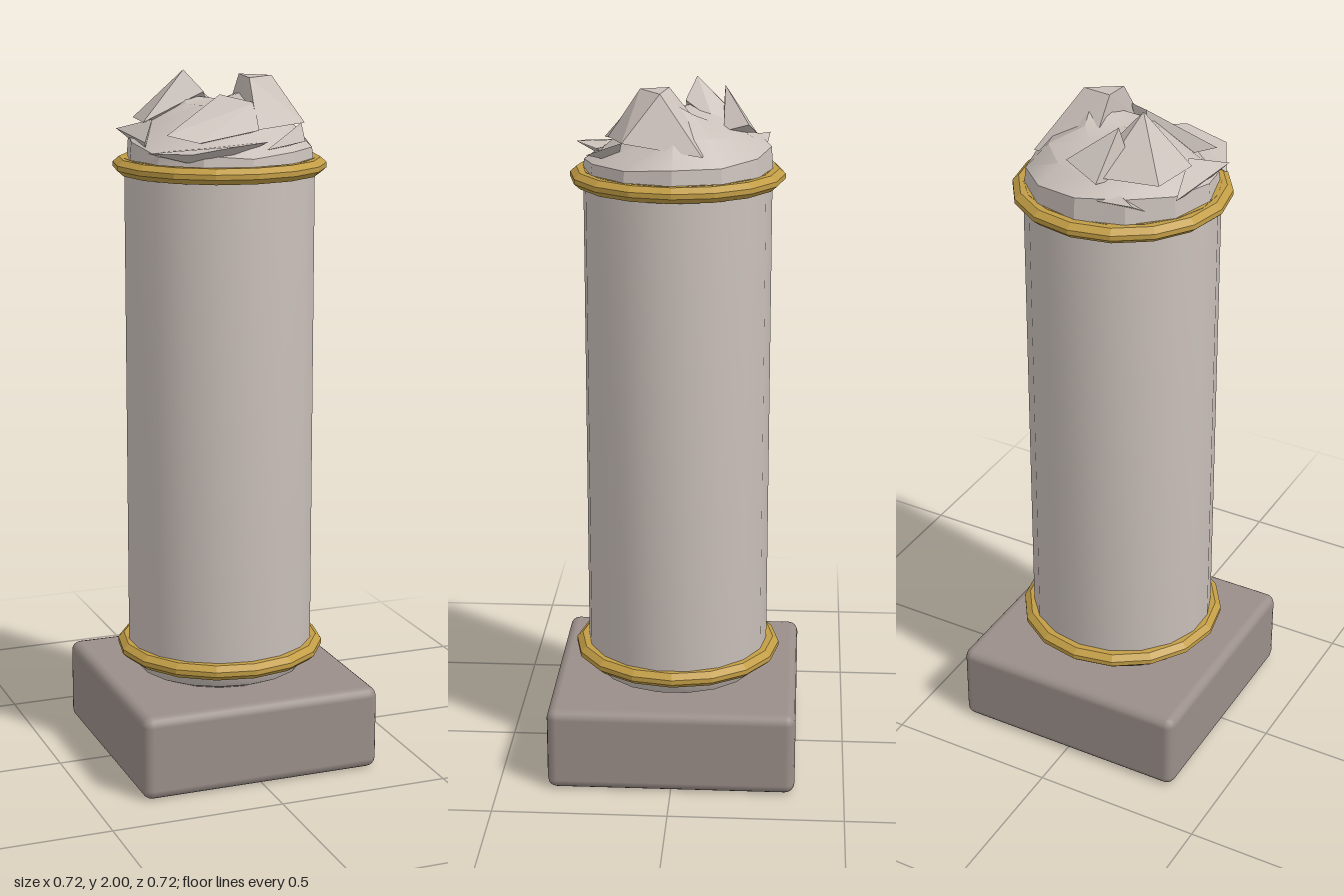
import * as THREE from 'three';
import { toCreasedNormals } from 'three/addons/utils/BufferGeometryUtils.js';
import { RoundedBoxGeometry } from 'three/addons/geometries/RoundedBoxGeometry.js';
import { ConvexGeometry } from 'three/addons/geometries/ConvexGeometry.js';

const material = (name, color) => {
  const m = new THREE.MeshStandardMaterial({ color });
  m.name = name;
  return m;
};
const lathe = (points, sides) =>
  new THREE.LatheGeometry(points.map(([r, y]) => new THREE.Vector2(r, y)), sides);

// Domed fracture surface: rings of uneven height closing on a centre point
function fractureGeometry() {
  const n = 12;
  const rings = [
    { r: 0.268, y: Array(n).fill(1.74) },
    { r: 0.262, y: [1.8, 1.79, 1.79, 1.78, 1.79, 1.78, 1.81, 1.82, 1.83, 1.82, 1.81, 1.8] },
    { r: 0.2, y: [1.87, 1.85, 1.83, 1.82, 1.82, 1.83, 1.86, 1.87, 1.86, 1.85, 1.86, 1.87] },
    { r: 0.1, y: [1.95, 1.95, 1.92, 1.91, 1.91, 1.91, 1.91, 1.93, 1.92, 1.9, 1.9, 1.92] },
  ];
  const pos = [], index = [];
  rings.forEach(({ r, y }) => y.forEach((h, k) => {
    const a = (k / n) * Math.PI * 2;
    pos.push(r * Math.cos(a), h, r * Math.sin(a));
  }));
  pos.push(0, 1.92, 0);
  const centre = rings.length * n;
  for (let j = 0; j < rings.length; j++) {
    for (let k = 0; k < n; k++) {
      const a = j * n + k, b = j * n + (k + 1) % n;
      if (j === rings.length - 1) index.push(a, centre, b);
      else index.push(a, a + n, b, b, a + n, b + n);
    }
  }
  const g = new THREE.BufferGeometry();
  g.setAttribute('position', new THREE.Float32BufferAttribute(pos, 3));
  g.setIndex(index);
  return toCreasedNormals(g, 0.5);
}

// Corner points of each broken stone shard
const shards = {
  frontSlab: [[-0.21, 1.84, 0.15], [-0.03, 1.94, 0.08], [0.05, 1.92, 0.14], [0.04, 1.85, 0.2], [-0.13, 1.82, 0.19], [-0.05, 1.8, 0.05]],
  frontLip: [[-0.18, 1.8, 0.27], [-0.05, 1.82, 0.288], [0.06, 1.82, 0.22], [-0.17, 1.77, 0.2], [-0.255, 1.79, 0.12], [-0.05, 1.77, 0.2]],
  plateau: [[0.05, 1.99, 0.02], [0.14, 1.985, 0.04], [0.05, 1.985, 0.1], [0.17, 1.93, 0], [0.2, 1.86, 0.14], [0.23, 1.83, -0.08], [0.04, 1.85, 0.19], [0.05, 1.84, -0.1]],
  leftSpike: [[-0.09, 2, -0.05], [-0.04, 1.94, -0.02], [-0.22, 1.86, -0.02], [-0.2, 1.86, -0.17], [-0.04, 1.86, -0.2], [0, 1.89, -0.1]],
  backSpike: [[-0.06, 1.98, -0.13], [0.06, 1.89, -0.2], [0.05, 1.87, -0.13], [-0.04, 1.85, -0.22], [-0.1, 1.85, -0.12]],
  backLip: [[-0.17, 1.83, -0.255], [-0.06, 1.82, -0.25], [-0.17, 1.79, -0.19], [-0.05, 1.84, -0.18]],
  cornerLip: [[0.05, 1.8, 0.235], [0.16, 1.82, 0.24], [0.19, 1.86, 0.14], [0.1, 1.79, 0.16]],
  leftLip: [[-0.25, 1.83, -0.17], [-0.262, 1.82, 0.12], [-0.2, 1.87, 0], [-0.22, 1.78, 0]],
};

export function createModel() {
  const model = new THREE.Group();
  model.name = 'brokenColumn';
  const stone = material('paleStone', 0xcbc1bb);
  const baseStone = material('darkStone', 0x9a8e89);
  const gold = material('gold', 0xc29d45);

  const add = (name, geometry, mat, y = 0, parent = model) => {
    const mesh = new THREE.Mesh(geometry, mat);
    mesh.name = name;
    mesh.position.y = y;
    parent.add(mesh);
    return mesh;
  };

  // Square plinth with softened edges
  add('plinth', new RoundedBoxGeometry(0.716, 0.245, 0.716, 2, 0.028), baseStone, 0.1225);

  // Shaft, tapering in where it meets the plinth
  const shaft = toCreasedNormals(lathe(
    [[0, 0.24], [0.2, 0.242], [0.245, 0.262], [0.268, 0.3], [0.272, 0.34], [0.272, 1.76]], 18), 0.6);
  add('shaft', shaft, stone).scale.z = 0.975;

  // Faceted metal bands
  const band = toCreasedNormals(lathe(
    [[0.255, -0.022], [0.285, -0.022], [0.302, -0.007], [0.302, 0.007], [0.285, 0.022], [0.255, 0.022]], 16), 0.1);
  add('lowerBand', band, gold, 0.32);
  add('upperBand', band, gold, 1.737);

  // Jagged broken top
  const top = new THREE.Group();
  top.name = 'brokenTop';
  model.add(top);
  add('fracture', fractureGeometry(), stone, 0, top);
  for (const [name, points] of Object.entries(shards)) {
    add(name, new ConvexGeometry(points.map((p) => new THREE.Vector3(...p))), stone, 0, top);
  }
  return model;
}
